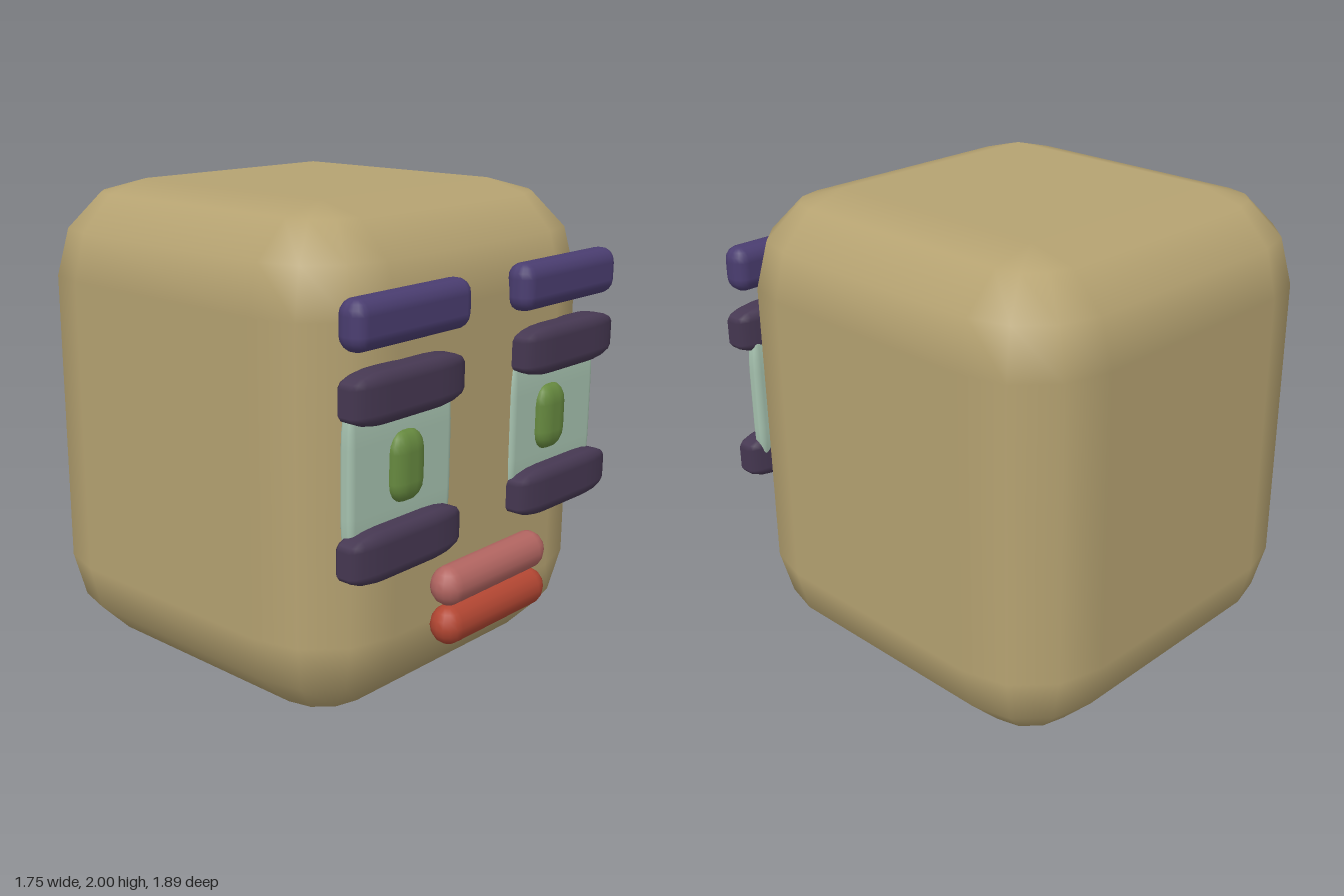
import * as THREE from 'three';

// Box with elliptical rounded edges: a sphere grid whose octants are pulled apart.
// min/max are opposite corners, r the rounding along each axis, n the steps per edge.
function softBox(min, max, r, n) {
  const cols = 4 * (n + 1);
  const rows = 2 * n + 3;
  const geo = new THREE.SphereGeometry(1, cols, rows);
  const pos = geo.attributes.position;
  const nor = geo.attributes.normal;
  const half = max.map((v, i) => (v - min[i]) / 2);
  const mid = max.map((v, i) => (v + min[i]) / 2);
  const normal = new THREE.Vector3();
  for (let i = 0; i < pos.count; i++) {
    const col = (i % (cols + 1)) % cols;
    const row = Math.floor(i / (cols + 1));
    const quad = Math.floor(col / (n + 1));
    const phi = (quad + (col % (n + 1)) / n) * Math.PI / 2;
    const pole = row === 0 || row === rows;
    const upper = row <= n + 1;
    const step = upper ? Math.max(row - 1, 0) : Math.min(row - 2, 2 * n);
    const theta = step / n * Math.PI / 2;
    const dir = [-Math.cos(phi) * Math.sin(theta), Math.cos(theta), Math.sin(phi) * Math.sin(theta)];
    const sign = [quad === 1 || quad === 2 ? 1 : -1, upper ? 1 : -1, quad < 2 ? 1 : -1];
    const p = dir.map((d, a) => mid[a] + (pole && a !== 1 ? 0 : sign[a] * (half[a] - r[a]) + d * r[a]));
    pos.setXYZ(i, ...p);
    normal.set(dir[0] / r[0], dir[1] / r[1], dir[2] / r[2]).normalize();
    nor.setXYZ(i, normal.x, normal.y, normal.z);
  }
  return geo;
}

export function createModel() {
  const model = new THREE.Group();
  model.name = 'blockHead';
  const paint = (color) => new THREE.MeshStandardMaterial({ color });
  const skin = paint(0xb5a271);
  const browColor = paint(0x4a3d70);
  const lidColor = paint(0x463852);
  const eyeColor = paint(0xa6c2af);
  const pupilColor = paint(0x66893f);
  const upperLipColor = paint(0xb26561);
  const lowerLipColor = paint(0xb24632);

  const add = (name, material, min, max, r, n = 4) => {
    const mesh = new THREE.Mesh(softBox(min, max, r, n), material);
    mesh.name = name;
    model.add(mesh);
  };

  // Head
  add('head', skin, [-0.875, 0, -0.945], [0.875, 2, 0.805], [0.38, 0.385, 0.375], 3);

  // Eyes: each side lists its x ranges, as the two differ slightly
  const sides = [
    { side: 'left', brow: [0.16, 0.8], upper: [0.195, 0.82], lower: [0.19, 0.818], eye: [0.195, 0.768], pupil: [0.352, 0.53] },
    { side: 'right', brow: [-0.802, -0.16], upper: [-0.802, -0.176], lower: [-0.807, -0.183], eye: [-0.76, -0.186], pupil: [-0.552, -0.375] },
  ];
  for (const { side, brow, upper, lower, eye, pupil } of sides) {
    const part = (name, material, x, y, z, r) =>
      add(side + name, material, [x[0], y[0], z[0]], [x[1], y[1], z[1]], r);
    part('Eyebrow', browColor, brow, [1.535, 1.725], [0.77, 0.895], [0.055, 0.06, 0.055]);
    part('UpperEyelid', lidColor, upper, [1.262, 1.46], [0.76, 0.895], [0.18, 0.05, 0.04]);
    part('LowerEyelid', lidColor, lower, [0.673, 0.87], [0.76, 0.895], [0.18, 0.05, 0.04]);
    part('Eye', eyeColor, eye, [0.76, 1.34], [0.76, 0.82], [0.03, 0.16, 0.02]);
    part('Pupil', pupilColor, pupil, [0.927, 1.2], [0.77, 0.865], [0.07, 0.08, 0.045]);
  }

  // Lips
  add('upperLip', upperLipColor, [-0.33, 0.46, 0.8], [0.33, 0.62, 0.943], [0.08, 0.08, 0.0715]);
  add('lowerLip', lowerLipColor, [-0.33, 0.3, 0.803], [0.33, 0.46, 0.947], [0.08, 0.08, 0.072]);

  return model;
}
